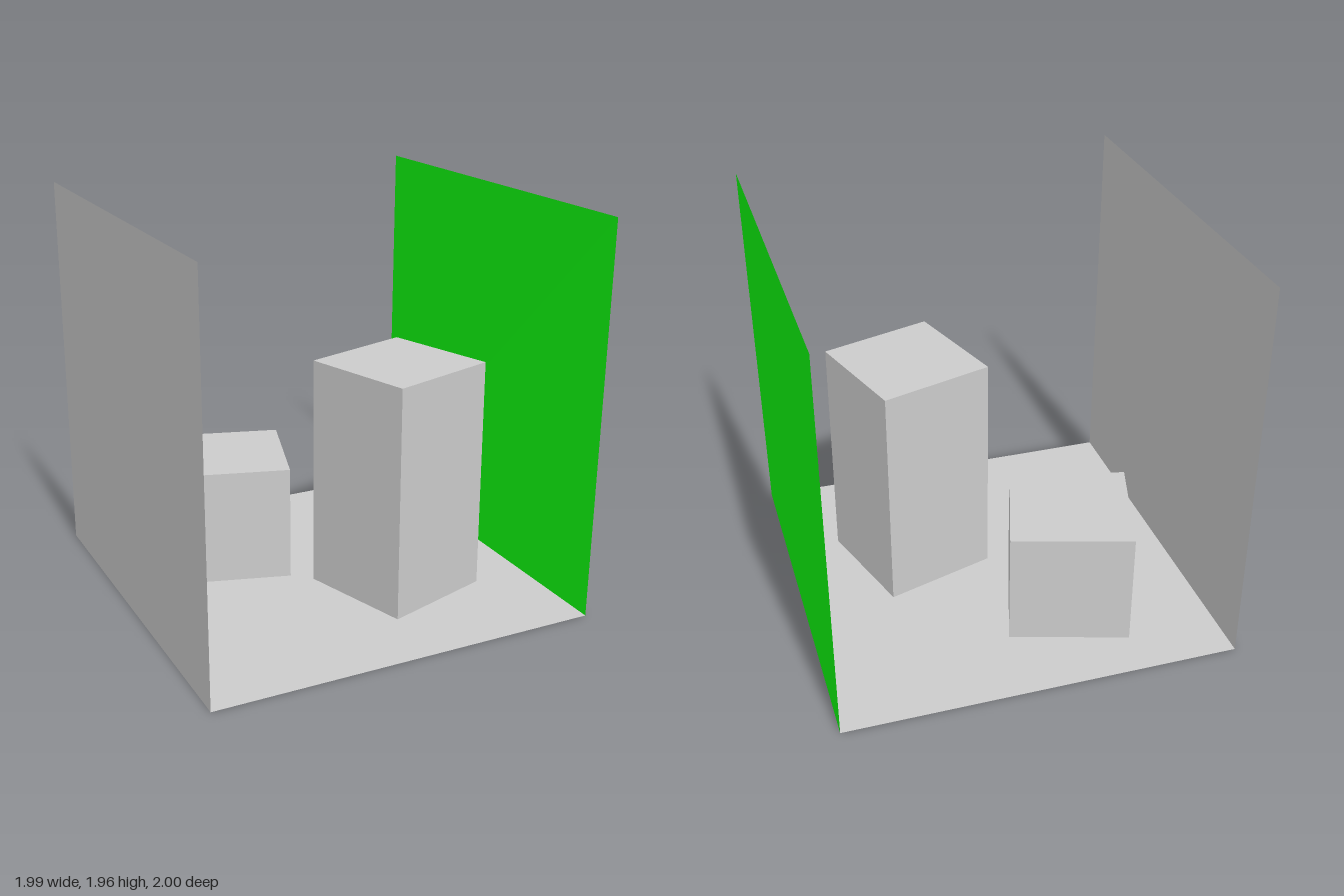
import * as THREE from 'three';

const grey = new THREE.MeshStandardMaterial({ color: 0xcccccc, side: THREE.DoubleSide, flatShading: true });
const green = new THREE.MeshStandardMaterial({ color: 0x10ff10, side: THREE.DoubleSide, flatShading: true });

// Flat-shaded mesh from four-cornered faces, corners counter-clockwise from the front
function quadMesh(name, material, quads) {
  const points = quads.flatMap(([a, b, c, d]) => [a, b, c, a, c, d]);
  const geometry = new THREE.BufferGeometry();
  geometry.setAttribute('position', new THREE.Float32BufferAttribute(points.flat(), 3));
  geometry.computeVertexNormals();
  const mesh = new THREE.Mesh(geometry, material);
  mesh.name = name;
  return mesh;
}

// Upright block standing on the floor: top and four sides over an [x, z] footprint
function block(name, corners, height) {
  const at = (i, y) => [corners[i % 4][0], y, corners[i % 4][1]];
  const quads = [[0, 1, 2, 3].map(i => at(i, height))];
  for (let i = 0; i < 4; i++) quads.push([at(i, 0), at(i + 1, 0), at(i + 1, height), at(i, height)]);
  return quadMesh(name, grey, quads);
}

export function createModel() {
  const group = new THREE.Group();
  group.name = 'openRoom';
  const side = 0.994, height = 1.963;

  // Floor edge and green wall lean in slightly towards the front and the bottom
  const backEdge = [0.983, 0, -1], frontEdge = [0.971, 0, 1];

  group.add(
    quadMesh('floor', grey, [[backEdge, [-side, 0, -1], [-side, 0, 1], frontEdge]]),
    quadMesh('greyWall', grey, [[[-side, 0, 1], [-side, 0, -1], [-side, height, -1], [-side, height, 1]]]),
    quadMesh('greenWall', green, [[backEdge, frontEdge, [side, height, 1], [side, height, -1]]]),
    block('shortBlock', [[-0.529, -0.767], [-0.701, -0.195], [-0.136, -0.027], [0.043, -0.592]], 0.59),
    block('tallBlock', [[0.519, -0.117], [-0.046, 0.059], [0.129, 0.631], [0.694, 0.452]], 1.18)
  );
  return group;
}
